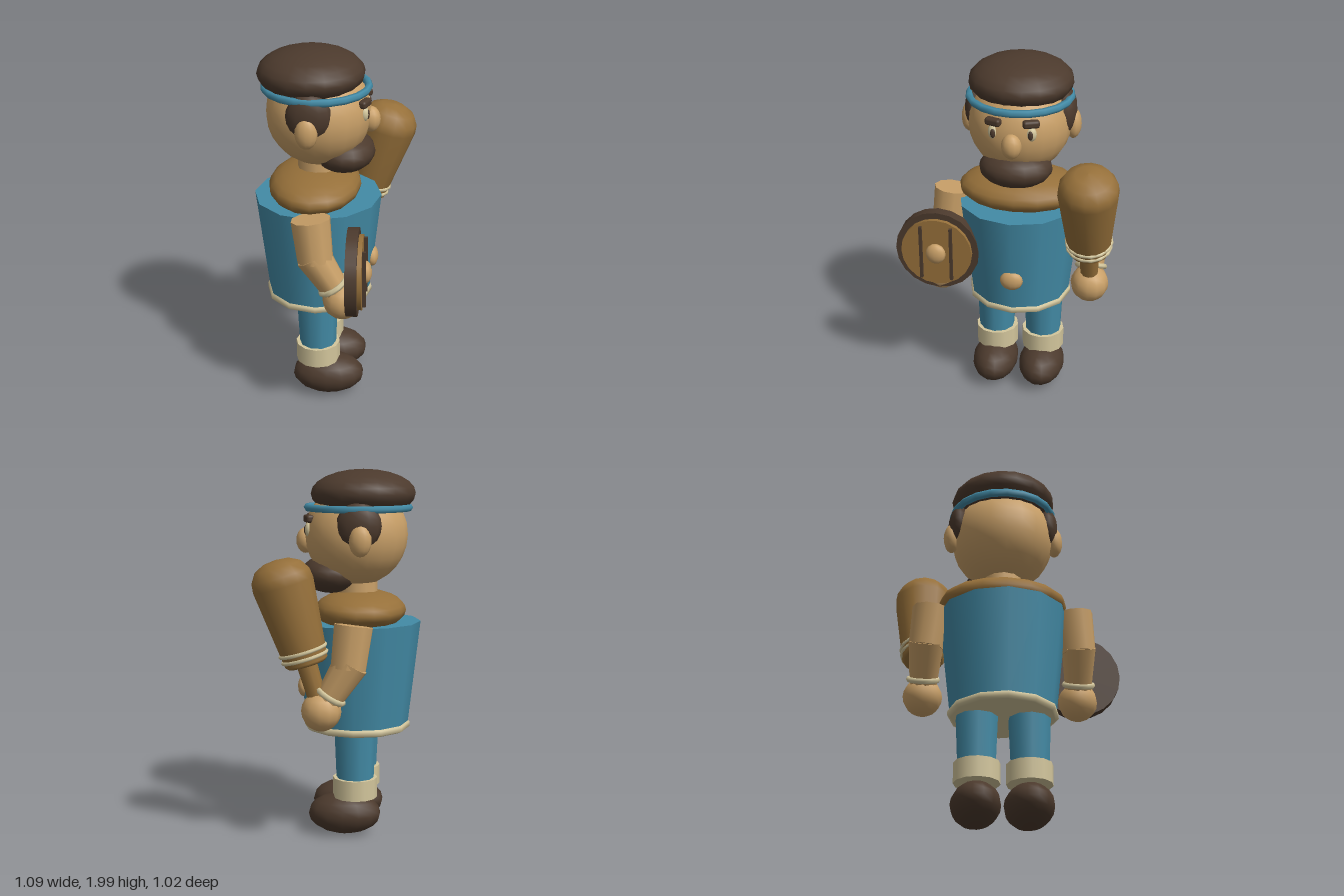
import * as THREE from 'three';
import { RoundedBoxGeometry } from 'three/addons/geometries/RoundedBoxGeometry.js';

function mat(name, color) {
  const m = new THREE.MeshStandardMaterial({ color });
  m.name = name;
  return m;
}

export function createModel() {
  const teal = mat('teal cloth', 0x438ba6);
  const skin = mat('skin', 0xc9a068);
  const brown = mat('brown wood', 0x96703a);
  const dark = mat('dark brown', 0x4c3a2d);
  const cream = mat('cream', 0xd3c69c);

  const model = new THREE.Group();
  model.name = 'figure';
  // The figure stands turned halfway towards +x
  model.rotation.y = Math.PI / 4;
  model.position.set(-0.17, 0, -0.135);

  function add(name, geometry, material, x = 0, y = 0, z = 0, parent = model) {
    const mesh = new THREE.Mesh(geometry, material);
    mesh.name = name;
    mesh.position.set(x, y, z);
    parent.add(mesh);
    return mesh;
  }
  function blob(name, material, [x, y, z], [rx, ry, rz], ws = 16, hs = 12) {
    return add(name, new THREE.SphereGeometry(1, ws, hs).scale(rx, ry, rz), material, x, y, z);
  }
  // Tapered cylinder from point a to point b
  function limb(name, material, a, b, ra, rb, sides = 10) {
    const p = new THREE.Vector3(...a), q = new THREE.Vector3(...b);
    const dir = q.clone().sub(p);
    const mesh = add(name, new THREE.CylinderGeometry(rb, ra, dir.length(), sides), material);
    mesh.position.copy(p).add(q).multiplyScalar(0.5);
    mesh.quaternion.setFromUnitVectors(new THREE.Vector3(0, 1, 0), dir.normalize());
    return mesh;
  }
  const ring = (r, tube, sides) => new THREE.TorusGeometry(r, tube, 6, sides).rotateX(Math.PI / 2);

  // Torso, hem and collar
  add('tunic', new THREE.CylinderGeometry(0.345, 0.28, 0.58, 12), teal, 0, 0.89, 0);
  const hem = [[0, 0.58], [0.275, 0.58], [0.292, 0.59], [0.292, 0.615], [0.275, 0.625]];
  add('hem', new THREE.LatheGeometry(hem.map(p => new THREE.Vector2(...p)), 12), cream);
  blob('collar', brown, [0, 1.24, -0.015], [0.345, 0.11, 0.25]);
  blob('bellyButton', skin, [0, 0.805, 0.295], [0.065, 0.058, 0.035], 12, 8);

  // Head
  add('neck', new THREE.CylinderGeometry(0.105, 0.11, 0.16, 12), skin, 0, 1.36, 0);
  blob('head', skin, [0, 1.65, 0.01], [0.28, 0.28, 0.28], 20, 14);
  blob('hairTop', dark, [0, 1.87, -0.028], [0.285, 0.13, 0.285], 18, 12);
  add('headband', ring(0.275, 0.021, 20), teal, 0, 1.795, 0);
  blob('nose', skin, [0, 1.615, 0.285], [0.055, 0.07, 0.052], 12, 10);
  blob('beard', dark, [0, 1.435, 0.145], [0.2, 0.105, 0.165]);

  for (const s of [1, -1]) {
    const side = s > 0 ? 'left' : 'right';
    // Face details
    blob(side + 'Sideburn', dark, [s * 0.245, 1.71, -0.02], [0.06, 0.125, 0.12], 12, 10);
    blob(side + 'Ear', skin, [s * 0.285, 1.635, -0.03], [0.045, 0.085, 0.06], 12, 10);
    blob(side + 'Eye', cream, [s * 0.1, 1.68, 0.255], [0.03, 0.042, 0.025], 12, 8);
    blob(side + 'Pupil', dark, [s * 0.1, 1.678, 0.274], [0.015, 0.026, 0.01], 10, 8);
    const brow = add(side + 'Brow', new RoundedBoxGeometry(0.09, 0.042, 0.045, 2, 0.015), dark,
      s * 0.1, 1.738, 0.258);
    brow.rotation.y = s * 0.35;

    // Legs and shoes
    add(side + 'Leg', new THREE.CylinderGeometry(0.115, 0.1, 0.34, 10), teal, s * 0.138, 0.45, 0);
    add(side + 'Cuff', new THREE.CylinderGeometry(0.122, 0.122, 0.11, 12), cream, s * 0.136, 0.275, 0);
    blob(side + 'Shoe', dark, [s * 0.138, 0.125, 0.057], [0.132, 0.115, 0.2], 14, 10);

    // Arms bent forward
    limb(side + 'UpperArm', skin, [s * 0.385, 1.205, -0.005], [s * 0.41, 0.98, 0.02], 0.105, 0.095);
    limb(side + 'Forearm', skin, [s * 0.41, 1.01, 0.005], [s * 0.42, 0.8, 0.135], 0.095, 0.072);
    const wrist = add(side + 'Wristband', ring(0.076, 0.016, 12), cream, s * 0.42, 0.84, 0.112);
    wrist.rotation.x = -0.55;
    blob(side + 'Hand', skin, [s * 0.42, 0.757, 0.16], [0.106, 0.106, 0.106], 12, 10);
  }

  // Club held in the left hand, leaning forward
  const club = new THREE.Group();
  club.name = 'club';
  club.position.set(0.42, 0.755, 0.16);
  club.rotation.x = 0.29;
  model.add(club);
  add('clubHandle', new THREE.CylinderGeometry(0.056, 0.046, 0.36, 10), brown, 0, 0.13, 0, club);
  const body = [[0, 0.26], [0.1, 0.26], [0.116, 0.275], [0.163, 0.69], [0.157, 0.74],
    [0.125, 0.79], [0.07, 0.818], [0, 0.826]];
  add('clubHead', new THREE.LatheGeometry(body.map(p => new THREE.Vector2(...p)), 14), brown, 0, 0, 0, club);
  for (const y of [0.3, 0.335]) {
    add('clubBinding', ring(0.118 + (y - 0.3) * 0.11, 0.011, 14), cream, 0, y, 0, club);
  }

  // Round shield on the right arm
  const shield = new THREE.Group();
  shield.name = 'shield';
  shield.position.set(-0.428, 0.928, 0);
  model.add(shield);
  const disc = (r, d, n) => new THREE.CylinderGeometry(r, r, d, n).rotateX(Math.PI / 2);
  add('shieldBack', disc(0.235, 0.06, 20), dark, 0, 0, 0.217, shield);
  add('shieldFace', disc(0.2, 0.025, 20), brown, 0, 0, 0.2575, shield);
  for (const s of [1, -1]) {
    add('shieldBar', new THREE.BoxGeometry(0.016, 0.32, 0.02), dark, s * 0.085, 0, 0.279, shield);
  }
  add('shieldBoss', new THREE.SphereGeometry(1, 12, 8).scale(0.057, 0.06, 0.032), skin, 0, 0, 0.285, shield);

  const root = new THREE.Group();
  root.name = 'clubAndShieldFigure';
  root.add(model);
  return root;
}
